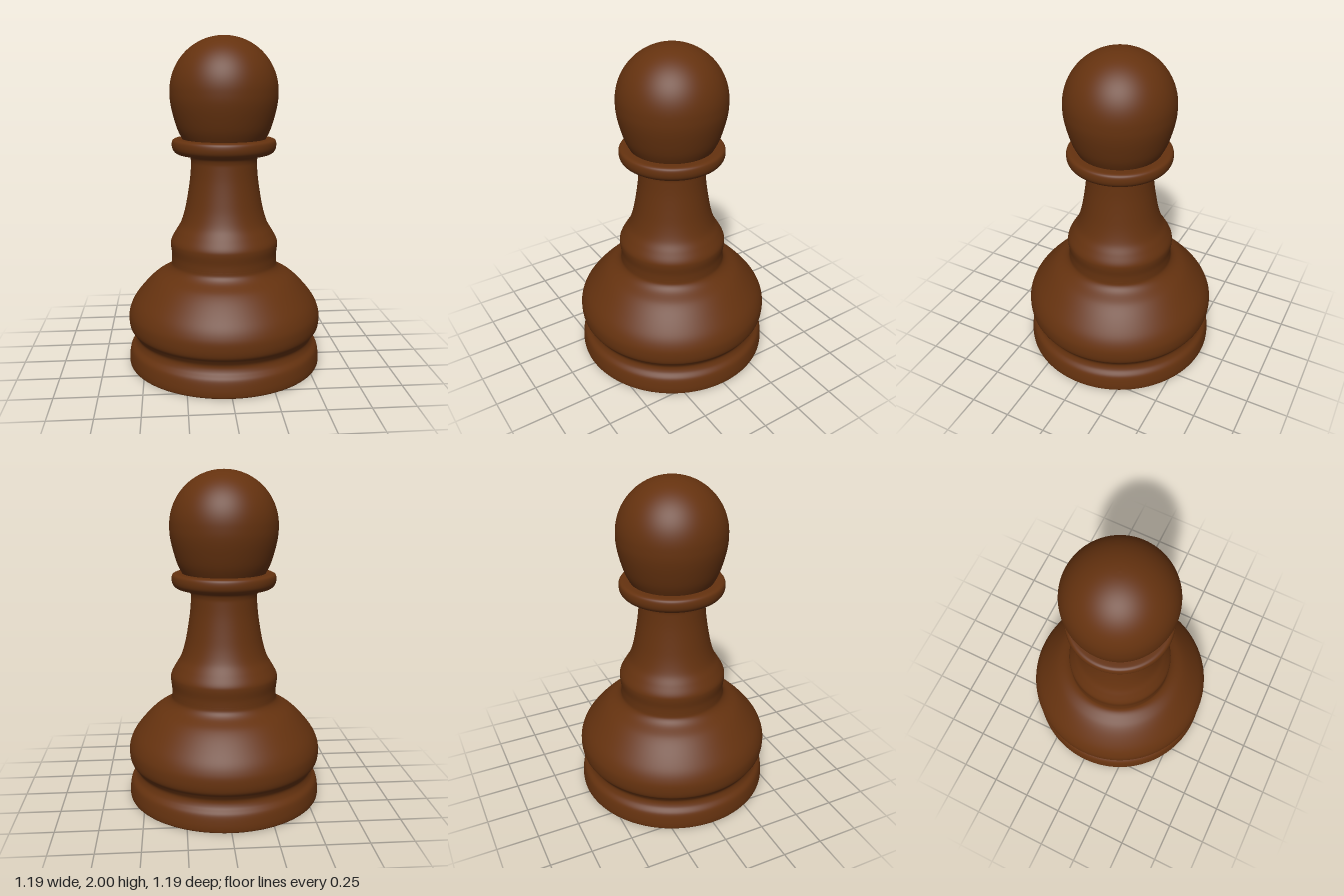
import * as THREE from 'three';

const SEGMENTS = 96;

export function createModel() {
  const group = new THREE.Group();
  group.name = 'pawn';
  const wood = new THREE.MeshStandardMaterial({ color: 0x65320f });
  wood.name = 'dark brown wood';

  // Turned part: [radius, height] pairs from bottom to top, smoothed by a spline
  function turned(name, profile, steps) {
    const curve = new THREE.SplineCurve(profile.map(([r, y]) => new THREE.Vector2(r, y)));
    const points = curve.getPoints(steps);
    points.forEach((p) => { p.x = Math.max(p.x, 0); });
    const mesh = new THREE.Mesh(new THREE.LatheGeometry(points, SEGMENTS), wood);
    mesh.name = name;
    group.add(mesh);
  }

  // Flat underside
  const underside = new THREE.Mesh(new THREE.CircleGeometry(0.585, SEGMENTS), wood);
  underside.name = 'underside';
  underside.rotation.x = Math.PI / 2;
  group.add(underside);

  // Foot ring, groove and bulging base
  turned('base', [
    [0.585, 0], [0.594, 0.01], [0.594, 0.05], [0.583, 0.105], [0.556, 0.14], [0.547, 0.175],
    [0.563, 0.207], [0.586, 0.24], [0.593, 0.29], [0.586, 0.345], [0.555, 0.41],
    [0.49, 0.49], [0.425, 0.55], [0.355, 0.59], [0.327, 0.62], [0.322, 0.65],
  ], 90);

  // Waist ring and tapering stem
  turned('stem', [
    [0.322, 0.65], [0.322, 0.69], [0.328, 0.745], [0.323, 0.78], [0.296, 0.83],
    [0.264, 0.885], [0.24, 0.96], [0.222, 1.05], [0.207, 1.15], [0.2, 1.23],
    [0.2, 1.265], [0.21, 1.29], [0.235, 1.3],
  ], 72);

  // Collar with rounded rim
  turned('collar', [
    [0.19, 1.298], [0.25, 1.301], [0.285, 1.308], [0.306, 1.327],
    [0.314, 1.352], [0.312, 1.38], [0.3, 1.393], [0.275, 1.396], [0.2, 1.394],
  ], 54);

  // Head: tapered neck flowing into a spherical dome
  const head = [[0.235, 1.37], [0.254, 1.4], [0.282, 1.46], [0.308, 1.55], [0.321, 1.62]];
  for (let i = 0; i <= 12; i++) {
    const a = (i / 12) * Math.PI / 2;
    head.push([0.323 * Math.cos(a), 1.677 + 0.323 * Math.sin(a)]);
  }
  turned('head', head, 64);

  return group;
}
